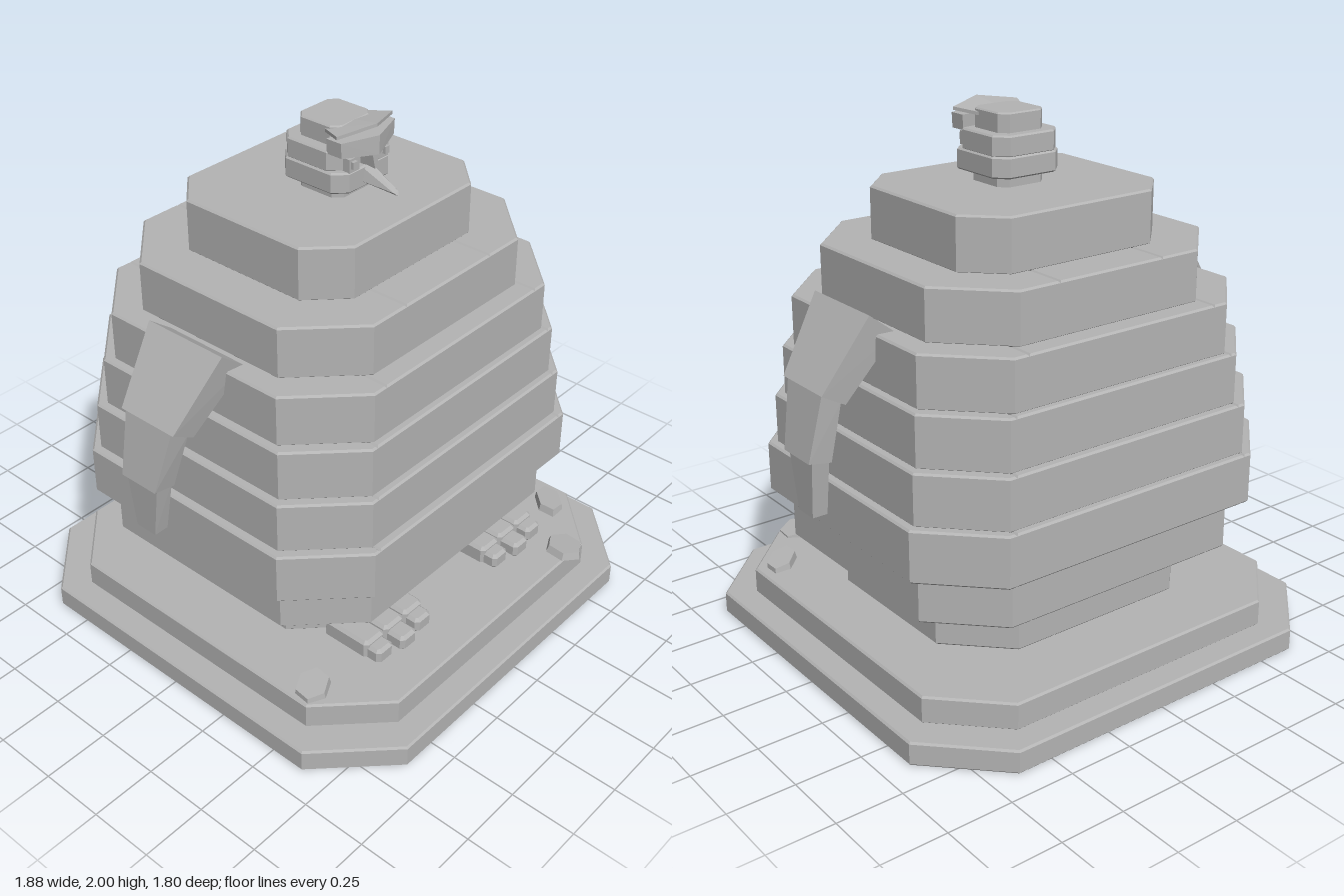
import * as THREE from 'three';
import { ConvexGeometry } from 'three/addons/geometries/ConvexGeometry.js';

const stone = new THREE.MeshStandardMaterial({ color: 0xb4b4b4, flatShading: true });
stone.name = 'grey stone';

function add(parent, name, geometry) {
  const mesh = new THREE.Mesh(geometry, stone);
  mesh.name = name;
  parent.add(mesh);
  return mesh;
}

// Upright slab with a plan outline of [x, z] points and softly bevelled edges
function slab(points, y0, y1, bevel = 0.007) {
  const shape = new THREE.Shape(points.map(([x, z]) => new THREE.Vector2(x, -z)));
  const geo = new THREE.ExtrudeGeometry(shape, {
    depth: y1 - y0 - 2 * bevel, bevelEnabled: true, bevelSegments: 1,
    bevelSize: bevel, bevelThickness: bevel, bevelOffset: -bevel,
  });
  return geo.rotateX(-Math.PI / 2).translate(0, y0 + bevel, 0);
}

// Rectangle with cut corners, as a plan outline
const octagon = (hx, z0, z1, c) => [
  [-hx + c, z1], [hx - c, z1], [hx, z1 - c], [hx, z0 + c],
  [hx - c, z0], [-hx + c, z0], [-hx, z0 + c], [-hx, z1 - c],
];

// Convex solid from [x, y, z] corners, optionally mirrored in x
const hull = (points, s = 1) =>
  new ConvexGeometry(points.map(([x, y, z]) => new THREE.Vector3(s * x, y, z)));

// Four corners of an arm section: outer and inner [x, y], front and back z
const section = ([ox, oy], [ix, iy], zf, zb) =>
  [[ox, oy, zf], [ox, oy, zb], [ix, iy, zf], [ix, iy, zb]];

export function createModel() {
  const model = new THREE.Group();
  model.name = 'steppedStoneStatue';

  // Two-step plinth
  add(model, 'lowerPlinth', slab(octagon(0.9, -0.9, 0.9, 0.26), 0, 0.09));
  add(model, 'upperPlinth', slab(octagon(0.8, -0.8, 0.8, 0.23), 0.085, 0.19));

  // Body courses: y0, y1, half width, back z, front z, corner cut, seam x
  const body = new THREE.Group();
  body.name = 'body';
  model.add(body);
  const courses = [
    [0.19, 0.385, 0.57, -0.535, 0.47, 0.21, 0.2],
    [0.385, 0.58, 0.72, -0.67, 0.605, 0.225, 0.41],
    [0.575, 0.77, 0.785, -0.73, 0.665, 0.235, 0.52],
    [0.765, 0.96, 0.755, -0.705, 0.635, 0.225, 0.5],
    [0.955, 1.15, 0.725, -0.675, 0.61, 0.22, 0.48],
    [1.145, 1.34, 0.695, -0.65, 0.585, 0.225, 0.41],
    [1.335, 1.53, 0.61, -0.575, 0.51, 0.22, 0.225],
    [1.525, 1.725, 0.437, -0.42, 0.355, 0.13, 0],
  ];
  courses.forEach(([y0, y1, hx, z0, z1, c, s], i) => {
    if (!s) {
      add(body, `course${i}`, slab(octagon(hx, z0, z1, c), y0, y1));
      return;
    }
    add(body, `course${i}Middle`, slab([[-s, z1], [s, z1], [s, z0], [-s, z0]], y0, y1));
    for (const m of [1, -1]) {
      const side = [[s, z1], [hx - c, z1], [hx, z1 - c], [hx, z0 + c], [hx - c, z0], [s, z0]]
        .map(([x, z]) => [m * x, z]);
      add(body, `course${i}${m > 0 ? 'Left' : 'Right'}`, slab(side, y0, y1));
    }
  });

  // Head blocks
  const head = new THREE.Group();
  head.name = 'head';
  model.add(head);
  add(head, 'neck', slab(octagon(0.1, -0.1, 0.1, 0.03), 1.72, 1.775, 0.004));
  add(head, 'lowerHead', slab(octagon(0.145, -0.145, 0.15, 0.045), 1.765, 1.842, 0.006));
  add(head, 'upperHead', slab(octagon(0.14, -0.14, 0.125, 0.045), 1.838, 1.915, 0.006));
  add(head, 'crown', slab(octagon(0.098, -0.1, 0.09, 0.03), 1.91, 1.985, 0.005));

  // Beak
  add(head, 'beak', hull([
    [-0.025, 1.84, 0.13], [0.025, 1.84, 0.13], [-0.035, 1.79, 0.13], [0.035, 1.79, 0.13],
    [0, 1.845, 0.165], [-0.012, 1.775, 0.27], [0.012, 1.775, 0.27], [0, 1.763, 0.28],
  ]));
  add(head, 'beakBridge', hull([
    [-0.022, 1.91, 0.12], [0.022, 1.91, 0.12], [-0.022, 1.91, 0.18], [0.022, 1.91, 0.18],
    [-0.012, 1.82, 0.12], [0.012, 1.82, 0.12], [0, 1.82, 0.18],
  ]));

  for (const s of [1, -1]) {
    const side = s > 0 ? 'left' : 'right';

    // Brow, visor plate and eye
    add(head, `${side}Brow`, hull([
      [0, 1.96, 0.195], [0, 1.89, 0.195], [0, 1.96, 0.1], [0, 1.89, 0.1],
      [0.138, 1.96, 0.145], [0.135, 1.905, 0.145], [0.138, 1.96, 0.08], [0.135, 1.905, 0.08],
    ], s));
    add(head, `${side}VisorPlate`, hull([
      [0, 2, 0.185], [0, 1.988, 0.185], [0.142, 1.982, 0.13], [0.142, 1.97, 0.13],
      [0, 1.978, 0.04], [0, 1.966, 0.04], [0.1, 1.972, 0.04], [0.1, 1.96, 0.04],
    ], s));
    const eye = new THREE.BoxGeometry(0.05, 0.05, 0.04).translate(s * 0.075, 1.865, 0.13);
    add(head, `${side}Eye`, eye);
    const pupil = new THREE.BoxGeometry(0.022, 0.026, 0.02).translate(s * 0.082, 1.868, 0.152);
    add(head, `${side}Pupil`, pupil);

    // Arm in three tapering segments
    const arm = new THREE.Group();
    arm.name = `${side}Arm`;
    model.add(arm);
    add(arm, 'upperArm', hull([
      ...section([0.72, 1.413], [0.62, 1.335], 0.148, -0.197),
      ...section([0.895, 1.16], [0.805, 1.11], 0.083, -0.167),
    ], s));
    add(arm, 'forearm', hull([
      ...section([0.885, 1.17], [0.815, 1.12], 0.068, -0.155),
      ...section([0.94, 0.92], [0.852, 0.905], 0.022, -0.14),
    ], s));
    add(arm, 'hand', hull([
      ...section([0.925, 0.935], [0.858, 0.92], 0.018, -0.135),
      ...section([0.918, 0.705], [0.86, 0.705], -0.02, -0.11),
    ], s));

    // Foot with three blunt toes
    const foot = new THREE.Group();
    foot.name = `${side}Foot`;
    model.add(foot);
    add(foot, 'instep', new THREE.BoxGeometry(0.27, 0.06, 0.2).translate(s * 0.345, 0.235, 0.48));
    for (let i = -1; i <= 1; i++) {
      const x = s * (0.345 + i * 0.108);
      const length = i === 0 ? 0.665 : 0.645;
      const box = (hx, y0, y1, z0, z1) => slab(
        octagon(hx, z0, z1, 0.014).map(([px, pz]) => [px + x, pz]), y0, y1, 0.012);
      add(foot, 'toe', box(0.052, 0.205, 0.283, 0.39, 0.595));
      add(foot, 'toeTip', box(0.042, 0.203, 0.266, 0.55, length));
    }
  }

  // Flat stones on the plinth: x, y, z, half length, half width, turn, tilt x, tilt z
  const stones = [
    [-0.72, 0.2, 0.53, 0.08, 0.065, 0.5, 0, 0.1],
    [0.695, 0.2, 0.55, 0.095, 0.055, 0.8, 0, -0.1],
    [0.5, 0.195, 0.76, 0.085, 0.075, 0.5, 0.03, -0.2],
  ];
  for (const [x, y, z, a, b, turn, tx, tz] of stones) {
    const rock = add(model, 'looseStone',
      new THREE.CylinderGeometry(0.92, 1, 0.03, 6).rotateY(Math.PI / 6).scale(a, 1, b).rotateY(turn));
    rock.position.set(x, y, z);
    rock.rotation.set(tx, 0, tz);
  }
  return model;
}
